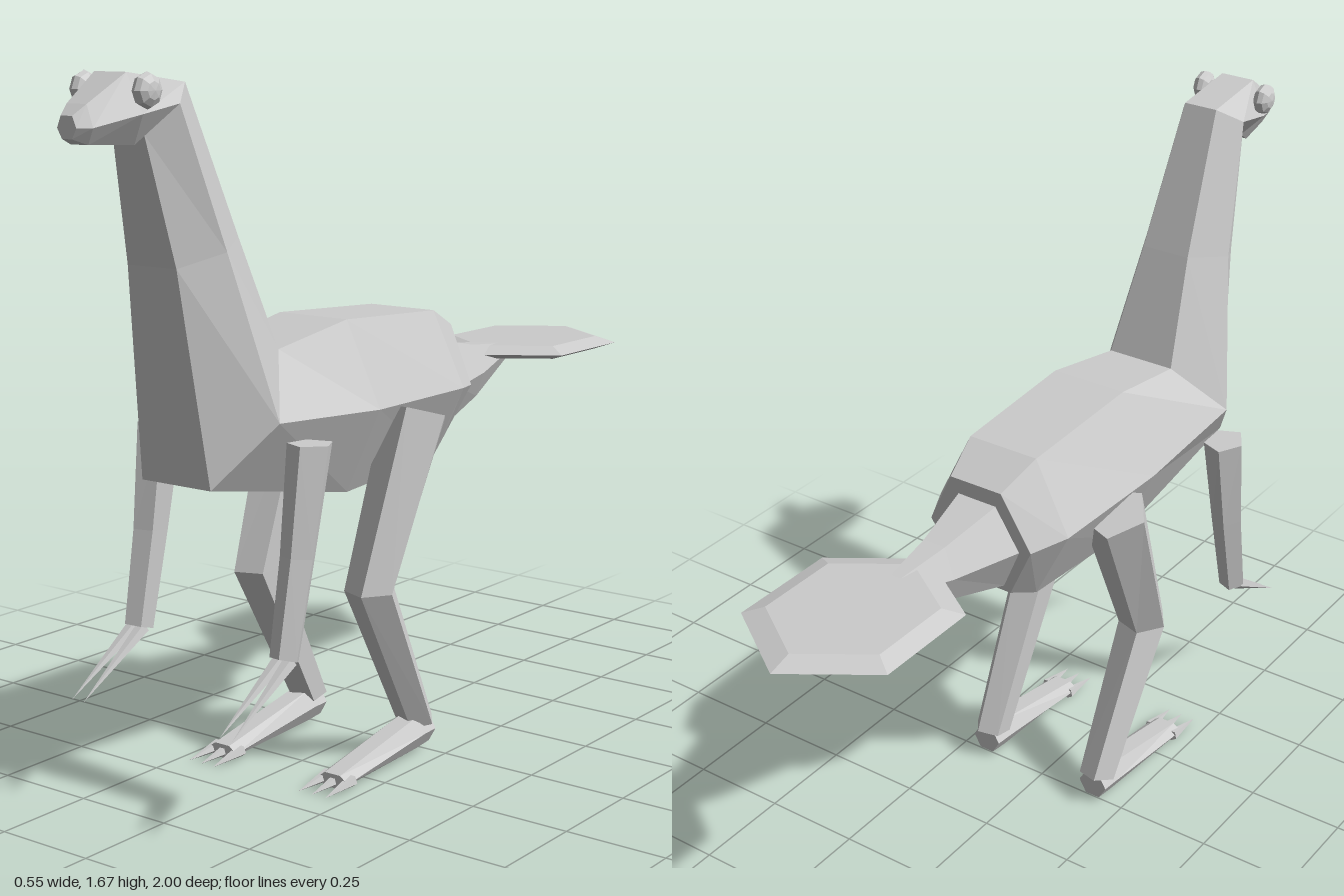
import * as THREE from 'three';

const material = new THREE.MeshStandardMaterial({ color: 0xcccccc, flatShading: true });

// Joins closed cross-sections of equal size into a capped, faceted solid.
function loft(name, rings) {
  const n = rings[0].length, tris = [];
  for (let r = 0; r < rings.length - 1; r++) {
    for (let i = 0; i < n; i++) {
      const j = (i + 1) % n, [a, b] = [rings[r], rings[r + 1]];
      tris.push([a[i], b[i], b[j]], [a[i], b[j], a[j]]);
    }
  }
  const first = rings[0], last = rings[rings.length - 1];
  for (let i = 1; i < n - 1; i++) {
    tris.push([first[0], first[i], first[i + 1]], [last[0], last[i + 1], last[i]]);
  }
  // Signed volume decides the corner order, so faces always point outward.
  let volume = 0;
  for (const [a, b, c] of tris) {
    volume += new THREE.Vector3(...a).dot(new THREE.Vector3(...b).cross(new THREE.Vector3(...c)));
  }
  if (volume < 0) tris.forEach(t => t.reverse());
  const geometry = new THREE.BufferGeometry();
  geometry.setAttribute('position', new THREE.Float32BufferAttribute(tris.flat(2), 3));
  geometry.computeVertexNormals();
  return addName(new THREE.Mesh(geometry, material), name);
}

function addName(object, name) {
  object.name = name;
  return object;
}

// Symmetric hexagon from its top, middle and bottom corners, each [x, y, z].
function hex(top, mid, bottom) {
  const mirror = ([x, y, z]) => [-x, y, z];
  return [top, mid, bottom, mirror(bottom), mirror(mid), mirror(top)];
}

// Pentagonal limb section lying across the limb; slope tips it along z.
function limbRing(x, y, z, rx, rz, slope = 0, turn = 0) {
  return Array.from({ length: 5 }, (_, i) => {
    const a = turn + i * Math.PI * 2 / 5;
    const dz = Math.cos(a) * rz;
    return [x + Math.sin(a) * rx, y + dz * slope, z + dz];
  });
}

// Upright hexagonal section for the foot.
function footRing(x, y, z, rx, ry) {
  return Array.from({ length: 6 }, (_, i) => {
    const a = i * Math.PI / 3;
    return [x + Math.cos(a) * rx, y + Math.sin(a) * ry * 1.15, z];
  });
}

// Thin pointed claw between two points.
function claw(name, from, to, radius) {
  const start = new THREE.Vector3(...from), end = new THREE.Vector3(...to);
  const direction = end.clone().sub(start);
  const mesh = new THREE.Mesh(new THREE.ConeGeometry(radius, direction.length(), 5), material);
  mesh.position.copy(start).add(end).multiplyScalar(0.5);
  mesh.quaternion.setFromUnitVectors(new THREE.Vector3(0, 1, 0), direction.normalize());
  return addName(mesh, name);
}

// Limbs are defined on the +x side and mirrored for the other.
function hindLeg(s) {
  const leg = addName(new THREE.Group(), s > 0 ? 'leftHindLeg' : 'rightHindLeg');
  const flip = ring => ring.map(([x, y, z]) => [s * x, y, z]);
  leg.add(loft('legShaft', [
    limbRing(0.19, 0.857, 0.04, 0.08, 0.082, 0.33, 0.3),
    limbRing(0.175, 0.45, 0.205, 0.062, 0.067, 0, 0.3),
    limbRing(0.17, 0.075, 0.01, 0.048, 0.045, -0.2, 0.3),
  ].map(flip)));
  leg.add(loft('foot', [
    footRing(0.17, 0.055, -0.015, 0.04, 0.035),
    footRing(0.17, 0.056, 0.04, 0.045, 0.04),
    footRing(0.17, 0.02, 0.35, 0.045, 0.017),
  ].map(flip)));
  for (const x of [0.135, 0.17, 0.205]) {
    const tip = 0.17 + (x - 0.17) * 1.1;
    leg.add(claw('toeClaw', [s * x, 0.02, 0.32], [s * tip, 0.01, 0.43], 0.016));
  }
  return leg;
}

function foreLeg(s) {
  const arm = addName(new THREE.Group(), s > 0 ? 'leftArm' : 'rightArm');
  const flip = ring => ring.map(([x, y, z]) => [s * x, y, z]);
  arm.add(loft('armShaft', [
    limbRing(0.225, 0.86, 0.495, 0.05, 0.06, 0.05, 0.3),
    limbRing(0.222, 0.61, 0.537, 0.04, 0.045, 0.1, 0.3),
    limbRing(0.22, 0.385, 0.585, 0.034, 0.036, 0.3, 0.3),
  ].map(flip)));
  for (const d of [-1, 1]) {
    arm.add(claw('fingerClaw', [s * (0.22 + d * 0.014), 0.383, 0.585],
      [s * (0.22 + d * 0.018), 0.256, 0.79], 0.017));
  }
  return arm;
}

export function createModel() {
  const model = addName(new THREE.Group(), 'longNeckedCreature');

  // Sections shared between neighbouring parts
  const shoulder = hex([0.09, 1.05, 0.44], [0.19, 0.91, 0.56], [0.1, 0.77, 0.69]);
  const nape = hex([0.045, 1.65, 0.69], [0.088, 1.608, 0.755], [0.045, 1.545, 0.82]);

  model.add(loft('body', [
    shoulder,
    hex([0.1, 1.09, 0.2], [0.197, 0.887, 0.2], [0.1, 0.678, 0.2]),
    hex([0.095, 1.07, -0.16], [0.187, 0.885, -0.16], [0.095, 0.7, -0.16]),
    hex([0.072, 1.02, -0.27], [0.145, 0.875, -0.255], [0.072, 0.73, -0.235]),
  ]));
  model.add(loft('neck', [
    shoulder,
    hex([0.065, 1.31, 0.545], [0.122, 1.29, 0.65], [0.07, 1.26, 0.755]),
    nape,
  ]));
  model.add(loft('head', [
    nape,
    hex([0.045, 1.675, 0.87], [0.085, 1.59, 0.865], [0.045, 1.525, 0.85]),
    hex([0.028, 1.613, 0.97], [0.045, 1.565, 0.97], [0.025, 1.53, 0.965]),
    hex([0.016, 1.59, 1.0], [0.027, 1.565, 1.0], [0.014, 1.543, 1.0]),
  ]));
  model.add(loft('tail', [
    hex([0.055, 0.98, -0.255], [0.112, 0.865, -0.25], [0.055, 0.745, -0.235]),
    hex([0.03, 0.943, -0.43], [0.062, 0.872, -0.44], [0.03, 0.805, -0.45]),
    hex([0.001, 0.916, -0.69], [0.002, 0.913, -0.69], [0.001, 0.91, -0.69]),
  ]));

  // Flat six-sided fan at the end of the tail
  const profile = [[0, -0.017], [0.78, -0.017], [1, 0], [0.78, 0.017], [0, 0.017]];
  const fan = new THREE.Mesh(
    new THREE.LatheGeometry(profile.map(p => new THREE.Vector2(...p)), 6), material);
  fan.scale.set(0.237, 1, 0.276);
  fan.position.set(0, 0.911, -0.724);
  model.add(addName(fan, 'tailFan'));

  for (const s of [1, -1]) {
    const eye = new THREE.Mesh(new THREE.SphereGeometry(0.039, 8, 6), material);
    eye.rotation.z = -s * Math.PI / 2;
    eye.scale.y = 0.6;
    eye.position.set(s * 0.088, 1.638, 0.855);
    model.add(addName(eye, s > 0 ? 'leftEye' : 'rightEye'));
    model.add(hindLeg(s), foreLeg(s));
  }
  return model;
}
